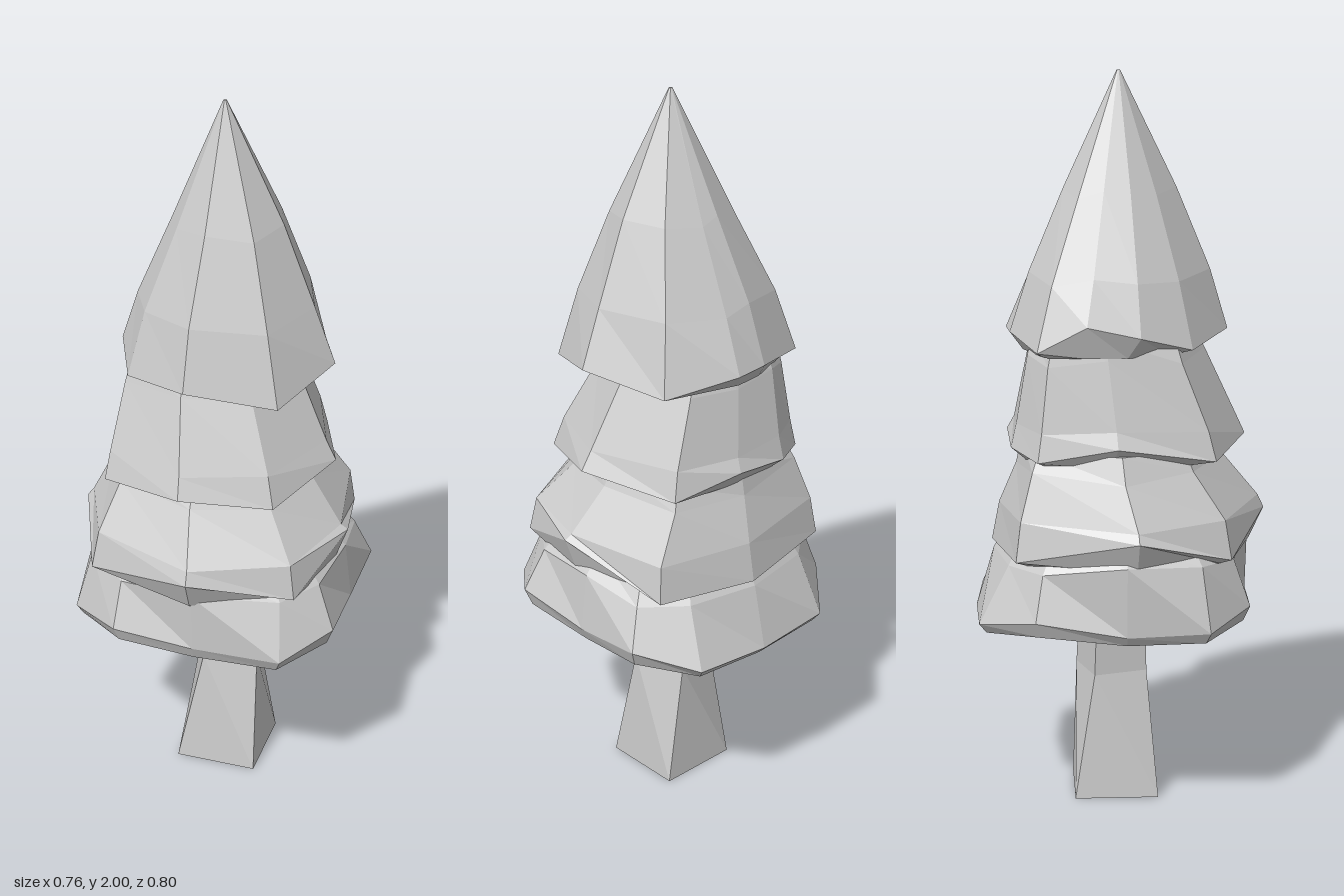
import * as THREE from 'three';

const material = new THREE.MeshStandardMaterial({ color: 0xcccccc, flatShading: true });

// Skins rings of [x, y, z] points, ordered top to bottom, and closes both ends
function loft(name, rings) {
  const pos = [];
  const tri = (...points) => points.forEach((p) => pos.push(...p));
  const centre = (ring) => [0, 1, 2].map((k) => ring.reduce((s, p) => s + p[k], 0) / ring.length);
  const n = rings[0].length;
  const last = rings[rings.length - 1];
  const top = centre(rings[0]);
  const bottom = centre(last);
  for (let i = 0; i < n; i++) {
    const j = (i + 1) % n;
    tri(top, rings[0][i], rings[0][j]);
    for (let r = 0; r + 1 < rings.length; r++) {
      const up = rings[r], low = rings[r + 1];
      tri(low[i], low[j], up[i]);
      tri(low[j], up[j], up[i]);
    }
    tri(bottom, last[j], last[i]);
  }
  const geometry = new THREE.BufferGeometry();
  geometry.setAttribute('position', new THREE.Float32BufferAttribute(pos, 3));
  geometry.computeVertexNormals();
  const mesh = new THREE.Mesh(geometry, material);
  mesh.name = name;
  return mesh;
}

// Ring made from a rim: scaled in plan, set at height y, shifted, slightly uneven
function ringFrom(rim, scale, y, dx = 0, dz = 0, rough = 0) {
  return rim.map(([x, , z], i) => {
    const s = scale * (1 + rough * Math.sin(i * 2.4 + 1));
    return [x * s + dx, y + rough * 0.6 * Math.cos(i * 3.7), z * s + dz];
  });
}

// Square trunk section, turned about its own axis
function trunkRing(y, radius, turn, cx, cz) {
  return [0, 1, 2, 3].map((i) => {
    const a = turn + (i * Math.PI) / 2;
    return [cx + radius * Math.sin(a), y, cz + radius * Math.cos(a)];
  });
}

// Rims run from the front towards +x, round the back and home again
const topRim = [
  [-0.01, 1.31, 0.29], [0.22, 1.26, 0.21], [0.315, 1.31, 0], [0.23, 1.27, -0.22],
  [0.05, 1.31, -0.31], [-0.05, 1.31, -0.3], [-0.24, 1.28, -0.23], [-0.265, 1.35, -0.1],
  [-0.265, 1.32, 0.04], [-0.2, 1.28, 0.18],
];
const upperRim = [
  [-0.01, 1.02, 0.34], [0.22, 0.98, 0.24], [0.325, 1.02, 0], [0.23, 0.99, -0.26],
  [0.04, 1.03, -0.31], [-0.13, 1.01, -0.3], [-0.25, 0.99, -0.23], [-0.285, 1.03, -0.02],
  [-0.25, 0.99, 0.24],
];
const lowerRim = [
  [0.03, 0.8, 0.4], [0.29, 0.73, 0.27], [0.37, 0.82, 0.02], [0.31, 0.73, -0.29],
  [0.03, 0.72, -0.355], [-0.28, 0.73, -0.29], [-0.385, 0.8, 0.03], [-0.28, 0.73, 0.28],
];
const bottomRim = [
  [0.03, 0.57, 0.35], [0.27, 0.56, 0.33], [0.38, 0.6, 0.19], [0.37, 0.57, -0.04],
  [0.375, 0.59, -0.25], [0.25, 0.54, -0.385], [0.03, 0.53, -0.4], [-0.2, 0.54, -0.39],
  [-0.34, 0.58, -0.24], [-0.35, 0.54, 0], [-0.355, 0.55, 0.22], [-0.2, 0.58, 0.34],
];
const bottomShoulder = [
  [0.03, 0.74, 0.355], [0.25, 0.71, 0.265], [0.33, 0.72, 0.16], [0.35, 0.73, -0.04],
  [0.33, 0.7, -0.22], [0.22, 0.7, -0.31], [0.02, 0.7, -0.35], [-0.19, 0.7, -0.31],
  [-0.3, 0.7, -0.22], [-0.36, 0.73, 0], [-0.31, 0.72, 0.2], [-0.19, 0.71, 0.295],
];

export function createModel() {
  const tree = new THREE.Group();
  tree.name = 'tree';

  // Trunk: square foot twisting into a narrower, turned shaft
  tree.add(loft('trunk', [
    trunkRing(0.6, 0.1, -0.48, 0.02, -0.02),
    trunkRing(0.35, 0.108, -0.48, 0.02, -0.025),
    trunkRing(0, 0.163, -Math.PI / 4, 0.015, -0.015),
  ]));

  // Pointed crown
  tree.add(loft('foliageTop', [
    ringFrom(topRim, 0.015, 2, 0.008, -0.005),
    ringFrom(topRim, 0.51, 1.68, 0.01, 0, 0.02),
    ringFrom(topRim, 0.82, 1.46, 0, 0, 0.02),
    topRim,
    ringFrom(topRim, 0.8, 1.265, -0.025, -0.025),
    ringFrom(topRim, 0.5, 1.28, -0.03, -0.03),
  ]));

  // Two flared middle skirts, leaning back and to one side at the top
  tree.add(loft('foliageUpper', [
    ringFrom(upperRim, 0.68, 1.31, -0.035, -0.03),
    ringFrom(upperRim, 0.74, 1.25, -0.03, -0.03, 0.02),
    ringFrom(upperRim, 0.93, 1.07, -0.005, -0.005, 0.01),
    upperRim,
    ringFrom(upperRim, 0.8, 0.975, -0.02, -0.02),
    ringFrom(upperRim, 0.5, 0.98, -0.02, -0.02),
  ]));
  tree.add(loft('foliageLower', [
    ringFrom(lowerRim, 0.68, 1.01, -0.02, -0.03),
    ringFrom(lowerRim, 0.75, 0.95, -0.02, -0.025, 0.02),
    ringFrom(lowerRim, 0.95, 0.83, 0, 0, 0.01),
    lowerRim,
    ringFrom(lowerRim, 0.9, 0.715),
    ringFrom(lowerRim, 0.7, 0.72),
  ]));

  // Broad bottom skirt with a shallow hollow underside
  tree.add(loft('foliageBottom', [
    ringFrom(bottomShoulder, 0.85, 0.78),
    bottomShoulder,
    bottomRim,
    bottomRim.map(([x, y, z]) => [x * 0.95, y * 0.6 + 0.19, z * 0.95]),
    ringFrom(bottomRim, 0.3, 0.56),
  ]));

  return tree;
}
